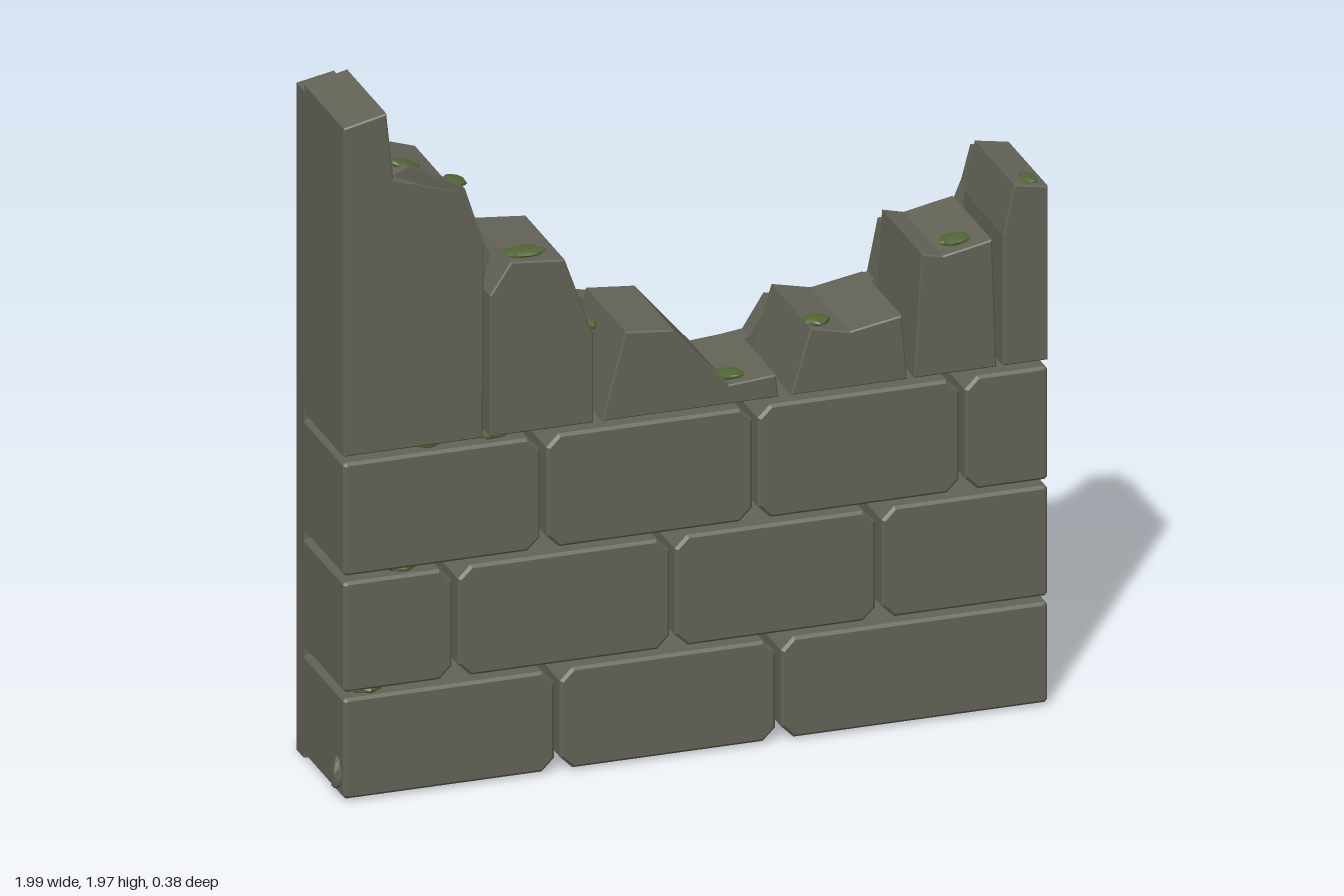
import * as THREE from 'three';

const stone = new THREE.MeshStandardMaterial({ color: 0x636257 });
stone.name = 'weathered stone';
const moss = new THREE.MeshStandardMaterial({ color: 0x506433 });
moss.name = 'moss';

const BACK = -0.13, FRONT = 0.19;

// Extrude an x/y outline between two depths, with an optional small bevel
function slab(name, points, z0, z1, bevel = 0) {
  const shape = new THREE.Shape(points.map(([x, y]) => new THREE.Vector2(x, y)));
  const geo = new THREE.ExtrudeGeometry(shape, {
    depth: z1 - z0 - 2 * bevel,
    bevelEnabled: bevel > 0, bevelThickness: bevel, bevelSize: bevel,
    bevelOffset: -bevel, bevelSegments: 1,
  });
  geo.translate(0, 0, z0 + bevel);
  const mesh = new THREE.Mesh(geo, stone);
  mesh.name = name;
  return mesh;
}

// Rectangle with corners cut; wall ends stay square
function blockOutline(x0, x1, y0, y1) {
  const l = x0 < -0.95 ? 0.008 : 0.035, r = x1 > 0.95 ? 0.008 : 0.035;
  return [[x0 + l, y0], [x1 - r, y0], [x1, y0 + r], [x1, y1 - r],
    [x1 - r, y1], [x0 + l, y1], [x0, y1 - l], [x0, y0 + l]];
}

// Small flattened faceted lump
function lump(name, x, y, z, sx, sy, sz, tilt = 0, material = moss) {
  let geo = new THREE.IcosahedronGeometry(1, 1);
  const p = geo.attributes.position;
  for (let i = 0; i < p.count; i++) {
    const k = 0.9 + 0.12 * Math.sin(p.getX(i) * 5 + p.getZ(i) * 4 + x * 9);
    p.setXYZ(i, p.getX(i) * k, p.getY(i), p.getZ(i) * k);
  }
  geo.scale(sx, sy, sz);
  geo.computeVertexNormals();
  const mesh = new THREE.Mesh(geo, material);
  mesh.position.set(x, y, z);
  mesh.rotation.z = tilt;
  mesh.name = name;
  return mesh;
}

export function createModel() {
  const wall = new THREE.Group();
  wall.name = 'ruinedWall';

  // Continuous backing with a broken top edge
  wall.add(slab('backing', [
    [-0.98, 0], [0.995, 0], [0.995, 1.465], [0.91, 1.475], [0.885, 1.38], [0.86, 1.32],
    [0.69, 1.3], [0.65, 1.3], [0.62, 1.15], [0.46, 1.11], [0.33, 1.13], [0.27, 1.035],
    [0.23, 1.03], [0.09, 1.01], [-0.07, 1.19], [-0.2, 1.215], [-0.29, 1.24],
    [-0.38, 1.43], [-0.5, 1.45], [-0.55, 1.37], [-0.6, 1.47], [-0.68, 1.67],
    [-0.86, 1.74], [-0.875, 1.94], [-0.98, 1.92],
  ], -0.19, BACK));

  // Three complete staggered courses
  const courses = [
    { y: [0.008, 0.297], x: [[-0.98, -0.388], [-0.372, 0.232], [0.248, 0.995]] },
    { y: [0.315, 0.632], x: [[-0.98, -0.675], [-0.658, -0.065], [-0.05, 0.512], [0.53, 0.995]] },
    { y: [0.65, 0.975], x: [[-0.98, -0.428], [-0.41, 0.167], [0.183, 0.747], [0.763, 0.995]] },
  ];
  courses.forEach(({ y, x }, row) => x.forEach(([x0, x1], i) =>
    wall.add(slab(`block${row + 1}_${i + 1}`, blockOutline(x0, x1, ...y), BACK - 0.01, FRONT, 0.008))));

  // Broken top course
  [
    [[-0.98, 0.995], [-0.59, 0.995], [-0.587, 1.55], [-0.63, 1.65], [-0.67, 1.72],
      [-0.84, 1.775], [-0.86, 1.967], [-0.98, 1.94]],
    [[-0.57, 0.995], [-0.28, 0.995], [-0.28, 1.25], [-0.36, 1.475], [-0.51, 1.49], [-0.57, 1.4]],
    [[-0.255, 0.995], [0.24, 0.995], [0.232, 1.06], [0.1, 1.05], [-0.055, 1.23], [-0.19, 1.243]],
    [[0.275, 0.995], [0.6, 0.995], [0.585, 1.18], [0.44, 1.155], [0.33, 1.18]],
    [[0.62, 0.995], [0.85, 0.995], [0.838, 1.362], [0.7, 1.335], [0.64, 1.35]],
    [[0.87, 0.995], [0.995, 0.995], [0.995, 1.495], [0.9, 1.512], [0.87, 1.37]],
  ].forEach((pts, i) => wall.add(slab(`brokenBlock${i + 1}`, pts, BACK, FRONT, 0.004)));

  // Thin chipped flake along the tall broken block
  wall.add(slab('chippedFlake', [[-0.66, 1.7], [-0.585, 1.46], [-0.57, 1.52],
    [-0.595, 1.58], [-0.64, 1.72], [-0.8, 1.805], [-0.84, 1.785]], 0.15, 0.188));

  // Moss on the broken ledges: x, y, half width, tilt
  [
    [-0.79, 1.79, 0.055, -0.35], [-0.65, 1.725, 0.035, -0.2], [-0.46, 1.493, 0.065, 0],
    [-0.272, 1.262, 0.018, 0], [0.115, 1.06, 0.048, 0], [0.36, 1.18, 0.042, 0],
    [0.75, 1.357, 0.05, 0.1], [0.955, 1.503, 0.025, -0.1],
  ].forEach(([x, y, w, t], i) =>
    wall.add(lump(`ledgeMoss${i + 1}`, x, y, 0.138, w, 0.012, 0.038, t)));

  // Moss in the mortar gaps
  [[-0.9, 0.305], [-0.8, 0.641], [-0.73, 0.987], [-0.55, 0.987]].forEach(([x, y], i) =>
    wall.add(lump(`gapMoss${i + 1}`, x, y, 0.145, 0.05, 0.013, 0.035)));

  // Stone chip at the foot of the wall end
  wall.add(lump('footChip', -0.98, 0.07, 0.14, 0.02, 0.048, 0.034, -0.15, stone));

  return wall;
}
